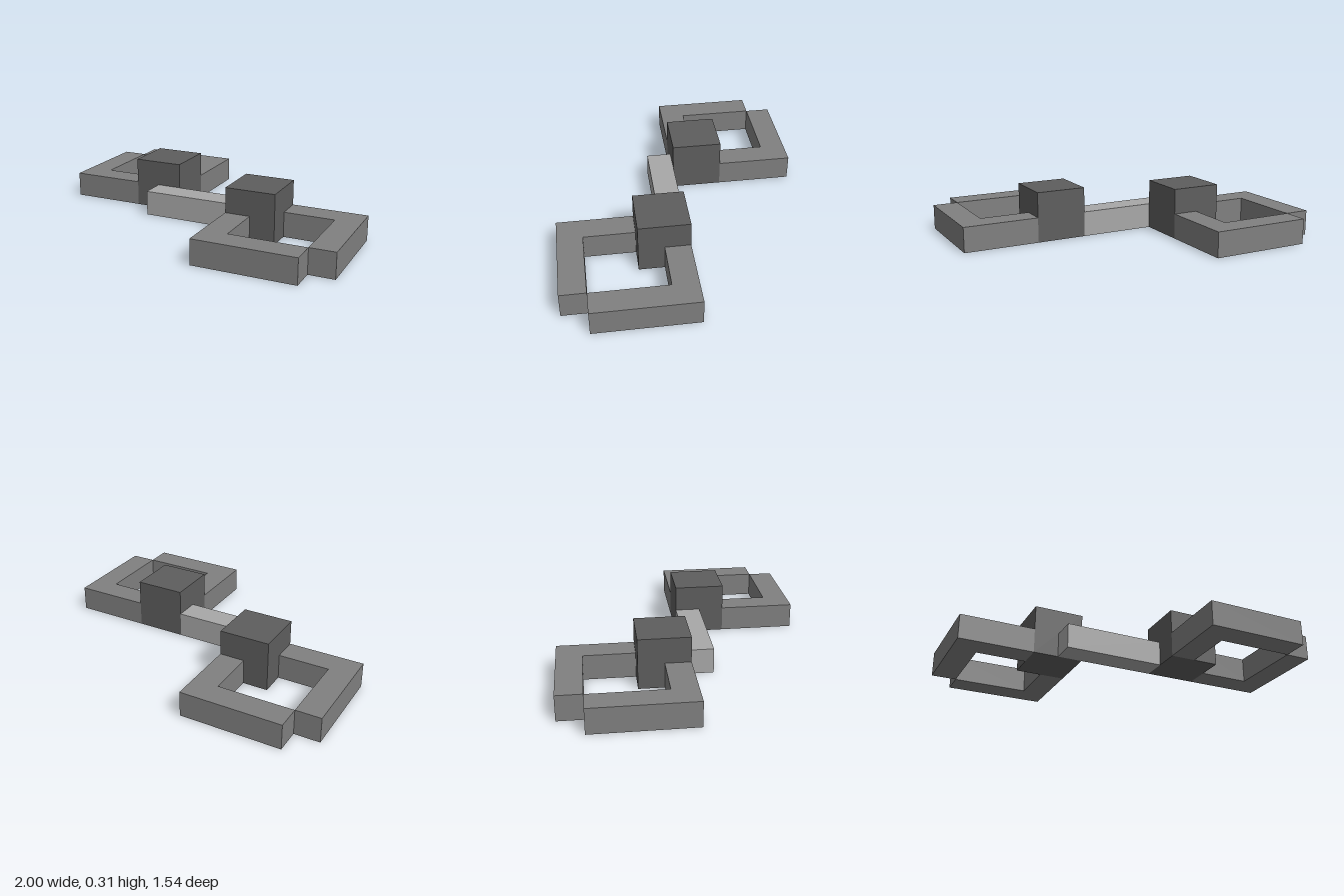
import * as THREE from 'three';

const U = 2 / 13; // one grid module: the thickness of every bar

const darkGrey = new THREE.MeshStandardMaterial({ color: 0x5e5e5e });
const midGrey = new THREE.MeshStandardMaterial({ color: 0x808080 });
const lightGrey = new THREE.MeshStandardMaterial({ color: 0xa8a8a8 });

// Box standing on the ground, from its x and z ranges and height in modules
function block(name, [x0, x1], [z0, z1], height, material) {
  const geometry = new THREE.BoxGeometry((x1 - x0) * U, height * U, (z1 - z0) * U);
  const mesh = new THREE.Mesh(geometry, material);
  mesh.position.set((x0 + x1) / 2 * U, height / 2 * U, (z0 + z1) / 2 * U);
  mesh.name = name;
  return mesh;
}

// Flat bar one module thick, from its x,z outline in modules
function bentBar(name, outline, material) {
  const shape = new THREE.Shape(outline.map(([x, z]) => new THREE.Vector2(x * U, z * U)));
  const geometry = new THREE.ExtrudeGeometry(shape, { depth: U, bevelEnabled: false });
  geometry.rotateX(Math.PI / 2).translate(0, U, 0);
  const mesh = new THREE.Mesh(geometry, material);
  mesh.name = name;
  return mesh;
}

// Corner cube with two L-shaped bars that close a square frame
function createFrame(name) {
  const frame = new THREE.Group();
  frame.name = name;
  frame.add(
    block('cornerCube', [1.5, 3.5], [0, 2], 2, darkGrey),
    bentBar('outerBar', [[3.5, 0], [6.5, 0], [6.5, 4], [5.5, 4], [5.5, 1], [3.5, 1]], midGrey),
    bentBar('innerBar', [[1.5, 2], [2.5, 2], [2.5, 4], [5.5, 4], [5.5, 5], [1.5, 5]], midGrey),
  );
  return frame;
}

export function createModel() {
  const model = new THREE.Group();
  model.name = 'linkedFrames';

  // The second frame is the first turned half way round
  const leftFrame = createFrame('leftFrame');
  const rightFrame = createFrame('rightFrame');
  rightFrame.rotation.y = Math.PI;

  // Bridge between the cubes
  const bridge = block('bridge', [-2.5, 1.5], [0, 1], 1, lightGrey);

  model.add(leftFrame, rightFrame, bridge);
  return model;
}
